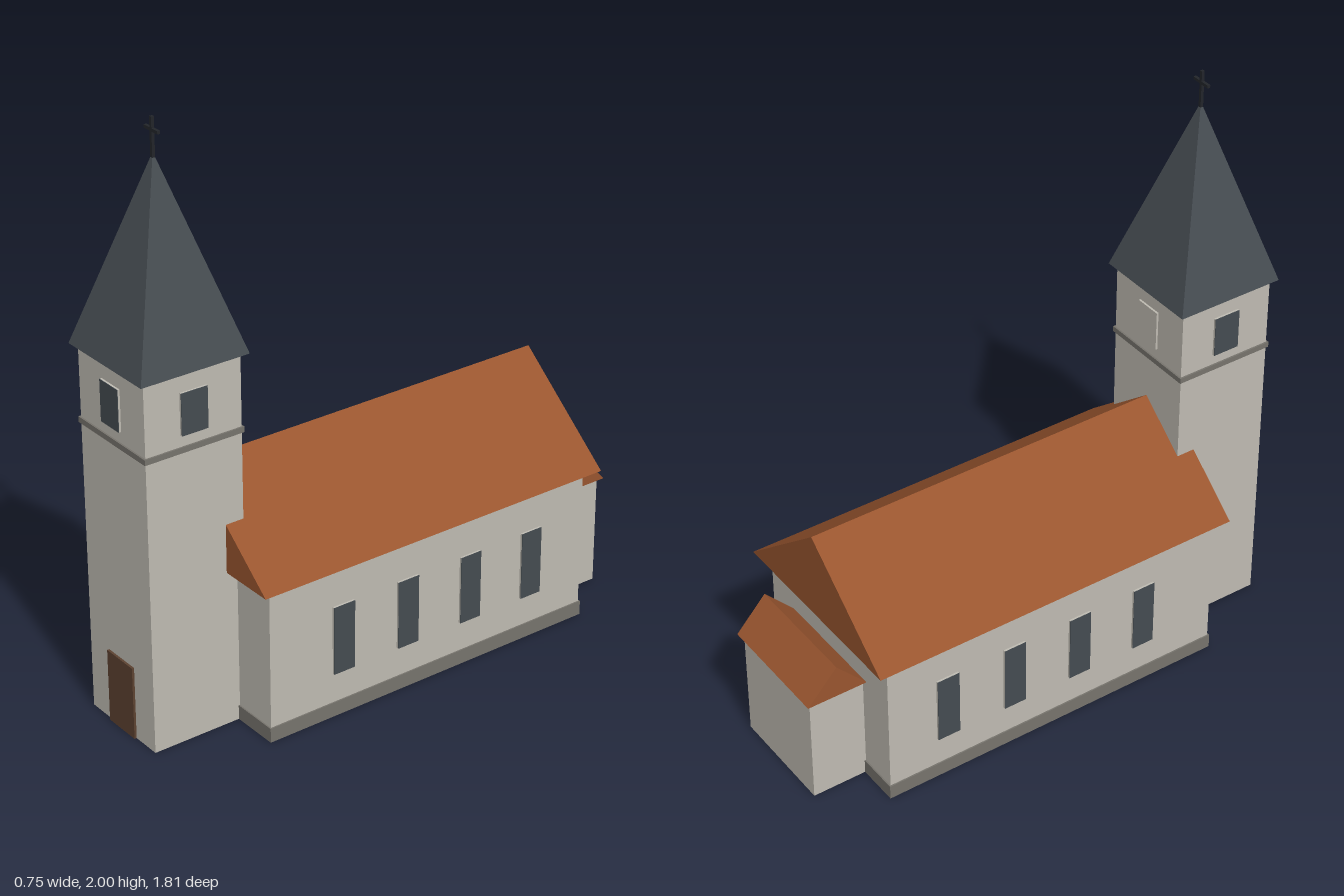
import * as THREE from 'three';

const mat = (name, color) => {
  const m = new THREE.MeshStandardMaterial({ color });
  m.name = name;
  return m;
};

export function createModel() {
  const church = new THREE.Group();
  church.name = 'church';

  const plaster = mat('plaster', 0xbfbbb2);
  const stone = mat('stone', 0x77746d);
  const tile = mat('roofTile', 0x99552f);
  const slate = mat('slate', 0x474d52);
  const glass = mat('darkGlass', 0x454c51);
  const wood = mat('doorWood', 0x5c4231);
  const iron = mat('iron', 0x22252a);

  const add = (name, geometry, material, parent = church) => {
    const mesh = new THREE.Mesh(geometry, material);
    mesh.name = name;
    parent.add(mesh);
    return mesh;
  };

  // Box given by its lower and upper limits on each axis
  const box = (name, [x0, x1], [y0, y1], [z0, z1], material, parent) => {
    const g = new THREE.BoxGeometry(x1 - x0, y1 - y0, z1 - z0);
    g.translate((x0 + x1) / 2, (y0 + y1) / 2, (z0 + z1) / 2);
    return add(name, g, material, parent);
  };

  // Closed gable prism with its ridge along z, centred on its own origin
  const gable = (half, rise, length) => {
    const s = new THREE.Shape();
    s.moveTo(-half, 0);
    s.lineTo(half, 0);
    s.lineTo(0, rise);
    s.closePath();
    const g = new THREE.ExtrudeGeometry(s, { depth: length, bevelEnabled: false });
    return g.translate(0, 0, -length / 2);
  };

  // Raised window block facing +z, with a dark pane on its face
  const makeWindow = (name, width, height, glazed = true) => {
    const w = new THREE.Group();
    w.name = name;
    const x = [-width / 2, width / 2], y = [-height / 2, height / 2];
    box('surround', x, y, [-0.01, 0.007], plaster, w);
    if (glazed) box('pane', x, y, [0.007, 0.009], glass, w);
    church.add(w);
    return w;
  };

  // Nave
  box('naveWalls', [-0.338, 0.338], [0.01, 0.542], [-0.69, 0.57], plaster);
  box('navePlinth', [-0.343, 0.343], [0, 0.05], [-0.695, 0.575], stone);
  add('naveRoof', gable(0.375, 0.31, 1.345), tile).position.set(0, 0.54, -0.063);
  for (const side of [-1, 1]) {
    for (let i = 0; i < 4; i++) {
      const w = makeWindow('naveWindow', 0.081, 0.24);
      w.position.set(side * 0.338, 0.275, 0.29 - i * 0.2535);
      w.rotation.y = side * Math.PI / 2;
    }
  }

  // Rear annex, with its ridge running across
  box('annexWalls', [-0.195, 0.195], [0, 0.392], [-0.885, -0.68], plaster);
  const annexRoof = add('annexRoof', gable(0.107, 0.115, 0.425), tile);
  annexRoof.position.set(0, 0.39, -0.793);
  annexRoof.rotation.y = Math.PI / 2;

  // Tower
  const cz = 0.717, half = 0.173;
  box('towerWalls', [-half, half], [0, 1.266], [cz - half, cz + half], plaster);
  box('towerBand', [-0.179, 0.179], [1.003, 1.022], [cz - 0.179, cz + 0.179], stone);
  for (let i = 0; i < 4; i++) {
    const a = i * Math.PI / 2;
    const w = makeWindow('belfryWindow', 0.095, 0.14, i !== 2); // the rear one is blind
    w.position.set(Math.sin(a) * half, 1.13, cz + Math.cos(a) * half);
    w.rotation.y = a;
  }
  box('door', [-0.069, 0.069], [0, 0.255], [cz + half - 0.01, cz + half + 0.008], wood);

  // Spire: four-sided pyramid turned square to the tower
  const spire = new THREE.ConeGeometry(0.193 * Math.SQRT2, 0.625, 4).toNonIndexed();
  spire.rotateY(Math.PI / 4);
  spire.computeVertexNormals();
  add('spire', spire, slate).position.set(0, 1.265 + 0.3125, cz);

  // Cross
  box('crossPost', [-0.005, 0.005], [1.86, 2], [cz - 0.005, cz + 0.005], iron);
  box('crossArm', [-0.035, 0.035], [1.955, 1.965], [cz - 0.005, cz + 0.005], iron);

  return church;
}
